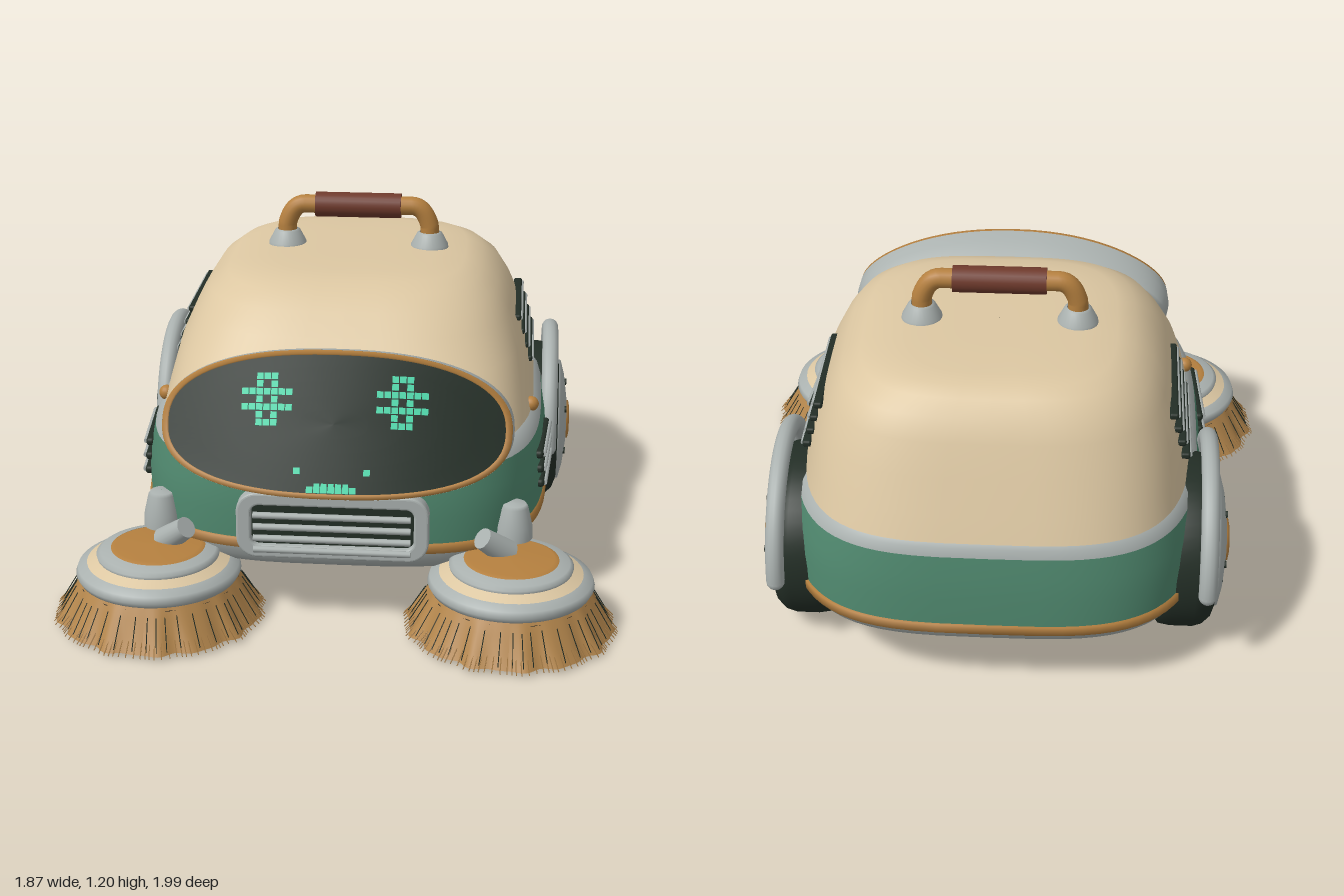
import * as THREE from 'three';
import { mergeGeometries } from 'three/addons/utils/BufferGeometryUtils.js';
import { RoundedBoxGeometry } from 'three/addons/geometries/RoundedBoxGeometry.js';

const paint = (name, color, side = THREE.FrontSide) => {
  const m = new THREE.MeshStandardMaterial({ color, side });
  m.name = name;
  return m;
};

export function createModel() {
  const root = new THREE.Group();
  root.name = 'sweeperRobot';
  const cream = paint('cream', 0xdcc7a2), green = paint('green', 0x50896f), grey = paint('grey', 0xaab1af, THREE.DoubleSide);
  const dark = paint('darkGreen', 0x232e26), copper = paint('copper', 0xb5803f), maroon = paint('maroon', 0x6f3a2c);
  const straw = paint('straw', 0xb2854c, THREE.DoubleSide), mint = paint('mint', 0x4fdcae), black = paint('black', 0x222425);

  const add = (parent, name, geo, mat, x = 0, y = 0, z = 0, rx = 0, ry = 0, rz = 0) => {
    const m = new THREE.Mesh(geo, mat);
    m.name = name;
    m.position.set(x, y, z);
    m.rotation.set(rx, ry, rz);
    parent.add(m);
    return m;
  };
  const lathe = (pts, seg = 48) => new THREE.LatheGeometry(pts.map(p => new THREE.Vector2(...p)), seg);

  // Skin over superellipse rings [depth, halfWidth, halfHeight, centreY], bent back by bend * x^2
  function loft(rings, n, bend = 0, seg = 80) {
    const pos = [], idx = [];
    const pw = v => Math.sign(v) * Math.abs(v) ** (2 / n);
    rings.forEach(([d, a, b, cy = 0], r) => {
      for (let i = 0; i < seg; i++) {
        const t = (i / seg) * Math.PI * 2, x = a * pw(Math.cos(t));
        pos.push(x, cy + b * pw(Math.sin(t)), d - bend * x * x);
        if (r) {
          const j = (i + 1) % seg, p = (r - 1) * seg, q = r * seg;
          idx.push(p + i, p + j, q + j, p + i, q + j, q + i);
        }
      }
    });
    const g = new THREE.BufferGeometry();
    g.setAttribute('position', new THREE.Float32BufferAttribute(pos, 3));
    g.setIndex(idx);
    g.computeVertexNormals();
    return g;
  }

  // Body layers, rows of [y, halfWidth, frontZ, backZ]
  const layer = (name, mat, rows) => add(root, name, loft(rows.map(([y, hx, f, b]) => [y, hx, (f - b) / 2, -(f + b) / 2]), 3.5),
    mat, 0, 0, 0, -Math.PI / 2);
  layer('underside', dark, [[0.175, 0.001, -0.16, -0.162], [0.175, 0.63, 0.58, -0.87]]);
  layer('lowerSkirt', grey, [[0.175, 0.63, 0.58, -0.87], [0.19, 0.655, 0.62, -0.93], [0.22, 0.675, 0.645, -0.97], [0.257, 0.685, 0.655, -0.985]]);
  layer('copperTrim', copper, [[0.255, 0.68, 0.65, -0.98], [0.257, 0.695, 0.668, -1], [0.288, 0.695, 0.668, -1], [0.291, 0.68, 0.65, -0.98]]);
  layer('greenBody', green, [[0.288, 0.688, 0.66, -0.993], [0.38, 0.69, 0.664, -0.99], [0.46, 0.683, 0.66, -0.983], [0.535, 0.668, 0.65, -0.972]]);
  layer('shoulderTrim', grey, [[0.535, 0.668, 0.65, -0.972], [0.565, 0.655, 0.635, -0.965], [0.58, 0.635, 0.61, -0.95]]);
  layer('upperShell', cream, [[0.555, 0.645, 0.61, -0.962], [0.65, 0.625, 0.53, -0.925], [0.77, 0.595, 0.4, -0.875], [0.87, 0.55, 0.31, -0.835],
    [0.94, 0.505, 0.24, -0.8], [0.985, 0.445, 0.175, -0.755], [1.008, 0.385, 0.11, -0.71], [1.018, 0.28, 0.03, -0.65],
    [1.02, 0.14, -0.13, -0.48], [1.02, 0.001, -0.31, -0.312]]);

  // Tilted, curved face visor
  const face = new THREE.Group();
  face.name = 'faceVisor';
  face.position.set(0, 0.69, 0.632);
  face.rotation.x = -0.445;
  root.add(face);
  const BEND = 0.3, N = 2.4;
  add(face, 'visorHood', loft([[-0.13, 0.5, 0.18, 0.035], [-0.145, 0.54, 0.195, 0.04], [-0.125, 0.568, 0.215, 0.033],
    [-0.06, 0.578, 0.238, 0.012], [-0.005, 0.572, 0.24]], N, BEND), grey);
  add(face, 'visorRim', loft([[-0.01, 0.572, 0.24], [0.004, 0.57, 0.239], [0.006, 0.553, 0.226], [-0.004, 0.547, 0.221]], N, BEND), copper);
  add(face, 'screen', loft([1, 0.8, 0.6, 0.4, 0.2, 0.001].map(s => [0, 0.556 * s, 0.229 * s]), N, BEND), dark);
  add(face, 'visorBack', loft([0.001, 0.25, 0.5, 0.75, 1].map(s => [-0.13, 0.51 * s, 0.185 * s, 0.035]), N, BEND), dark);

  // Lit squares on the screen
  const cells = [];
  const cell = (x, y, w = 0.021, h = 0.021) => {
    const g = new THREE.BoxGeometry(w, h, 0.006);
    g.rotateY(Math.atan(2 * BEND * x));
    g.translate(x, (y - 0.69) / Math.cos(0.445), 0.004 - BEND * x * x);
    cells.push(g);
  };
  const eye = ['..###..', '..#.#..', '#######', '..#.#..', '#######', '..#.#..', '..###..'];
  for (const s of [-1, 1]) {
    eye.forEach((row, r) => [...row].forEach((c, i) => c === '#' && cell(s * 0.218 + (i - 3) * 0.024, 0.826 - r * 0.0225)));
    cell(s * 0.112, 0.553);
  }
  for (let i = -3; i <= 3; i++) cell(i * 0.023, 0.5);
  for (let i = -2; i <= 2; i++) cell(i * 0.023, 0.512, 0.018, 0.014);
  add(face, 'screenLights', mergeGeometries(cells), mint);

  // Front grille
  const roundRect = (C, w, h, r) => {
    const s = new C();
    [[w - r, h - r, 0], [r - w, h - r, 1], [r - w, r - h, 2], [w - r, r - h, 3]]
      .forEach(([x, y, q]) => s.absarc(x, y, r, q * Math.PI / 2, (q + 1) * Math.PI / 2, false));
    s.closePath();
    return s;
  };
  const frame = roundRect(THREE.Shape, 0.305, 0.105, 0.06);
  frame.holes.push(roundRect(THREE.Path, 0.272, 0.078, 0.035));
  add(root, 'grilleFrame', new THREE.ExtrudeGeometry(frame, { depth: 0.07, bevelSize: 0.008, bevelThickness: 0.008, bevelSegments: 3, curveSegments: 10 }),
    grey, 0, 0.354, 0.615);
  add(root, 'grillePanel', new THREE.BoxGeometry(0.56, 0.17, 0.05), dark, 0, 0.354, 0.647);
  for (let i = 0; i < 4; i++)
    add(root, 'grilleBar', new THREE.CylinderGeometry(0.011, 0.011, 0.51, 12), grey, 0, 0.277 + i * 0.04, 0.706, 0, 0, Math.PI / 2);

  // Carrying handle
  const bar = new THREE.CurvePath();
  const v = (x, y) => new THREE.Vector3(x, y, 0);
  bar.add(new THREE.LineCurve3(v(-0.255, 1.05), v(-0.255, 1.09)));
  bar.add(new THREE.QuadraticBezierCurve3(v(-0.255, 1.09), v(-0.235, 1.162), v(-0.19, 1.162)));
  bar.add(new THREE.LineCurve3(v(-0.19, 1.162), v(0.19, 1.162)));
  bar.add(new THREE.QuadraticBezierCurve3(v(0.19, 1.162), v(0.235, 1.162), v(0.255, 1.09)));
  bar.add(new THREE.LineCurve3(v(0.255, 1.09), v(0.255, 1.05)));
  add(root, 'handleBar', new THREE.TubeGeometry(bar, 60, 0.033, 16), copper, 0, 0, -0.31);
  add(root, 'handleGrip', new THREE.CylinderGeometry(0.044, 0.044, 0.305, 24), maroon, 0, 1.161, -0.31, 0, 0, Math.PI / 2);

  // Brush with a ruffled skirt and fine dark strands
  function brush(s) {
    const g = new THREE.Group();
    g.name = 'brush';
    g.position.set(s * 0.58, 0, 0.64);
    root.add(g);
    const wave = a => 0.008 * Math.sin(a * 14) + 0.005 * Math.sin(a * 23 + 1);
    const skirt = lathe([[0.335, 0.015], [0.305, 0.06], [0.278, 0.11], [0.25, 0.155]], 120);
    const p = skirt.attributes.position;
    for (let i = 0; i < p.count; i++) {
      const a = Math.atan2(p.getZ(i), p.getX(i)), r = Math.hypot(p.getX(i), p.getZ(i));
      const k = 1 + wave(a) * (0.155 - p.getY(i)) / 0.14 / r;
      p.setX(i, p.getX(i) * k);
      p.setZ(i, p.getZ(i) * k);
    }
    skirt.computeVertexNormals();
    add(g, 'bristleSkirt', skirt, straw);
    const strands = (count, thick, y0, y1, r0, r1) => mergeGeometries(Array.from({ length: count }, (_, i) => {
      const a = (i + 0.35 * Math.sin(i * 7.3)) / count * Math.PI * 2;
      const h = new THREE.CylinderGeometry(thick, thick, Math.hypot(r1 - r0, y1 - y0), 3);
      h.rotateZ(Math.atan2(r1 - r0, y0 - y1));
      h.translate((r0 + r1) / 2 + wave(-a) * 0.6, (y0 + y1) / 2, 0);
      return h.rotateY(a);
    }));
    add(g, 'bristleTips', strands(110, 0.002, 0.05, 0.01, 0.31, 0.348), straw);
    add(g, 'darkStrands', strands(44, 0.0018, 0.12, 0.025, 0.275, 0.332), dark);
    add(g, 'brushUnderside', new THREE.CylinderGeometry(0.262, 0.262, 0.01, 48), black, 0, 0.13, 0);
    add(g, 'brushRim', lathe([[0.24, 0.14], [0.262, 0.147], [0.272, 0.165], [0.265, 0.185], [0.235, 0.2]]), grey);
    add(g, 'brushCreamRing', lathe([[0.235, 0.2], [0.2, 0.217]]), cream);
    add(g, 'brushCollar', lathe([[0.2, 0.215], [0.203, 0.227], [0.19, 0.237], [0.155, 0.246]]), grey);
    add(g, 'brushTop', lathe([[0.157, 0.244], [0.14, 0.252], [0.001, 0.256]]), copper);
    // Motor hub and linking arm
    add(g, 'brushMotor', lathe([[0.062, 0.27], [0.06, 0.315], [0.045, 0.38], [0.038, 0.39], [0.001, 0.392]], 24), grey, s * 0.005, 0, -0.12);
    add(g, 'brushArm', new THREE.CylinderGeometry(0.036, 0.045, 0.12, 20), grey, -s * 0.055, 0.28, -0.02, 0.6, 0, s * 0.75);
  }

  // Wheel, built facing +x
  function wheel(s) {
    const g = new THREE.Group();
    g.name = 'wheel';
    g.position.set(0, 0.295, -0.5);
    g.rotation.y = s > 0 ? 0 : Math.PI;
    root.add(g);
    const turn = -Math.PI / 2;
    add(g, 'tyre', lathe([[0.001, 0.53], [0.26, 0.53], [0.287, 0.55], [0.294, 0.59], [0.294, 0.665], [0.285, 0.695], [0.26, 0.722], [0.218, 0.738]]),
      dark, 0, 0, 0, 0, 0, turn);
    add(g, 'hubDisc', lathe([[0.225, 0.73], [0.222, 0.744], [0.17, 0.758], [0.08, 0.77], [0.001, 0.773]]), grey, 0, 0, 0, 0, 0, turn);
    add(g, 'hubCap', lathe([[0.073, 0.765], [0.07, 0.777], [0.05, 0.781], [0.001, 0.782]], 32), copper, 0, 0, 0, 0, 0, turn);
    for (let i = 0; i < 5; i++) {
      const a = i / 5 * Math.PI * 2;
      add(g, 'lugHole', new THREE.CylinderGeometry(0.012, 0.012, 0.008, 12), dark, 0.764, 0.14 * Math.sin(a), -s * 0.14 * Math.cos(a), 0, 0, turn);
    }
    // Fender arch with rounded ends
    add(g, 'fender', new THREE.TorusGeometry(0.333, 0.03, 14, 48, Math.PI), grey, 0.7, 0.015, 0, 0, Math.PI / 2, 0);
    for (const e of [-1, 1]) add(g, 'fenderEnd', new THREE.SphereGeometry(0.03, 14, 10), grey, 0.7, 0.015, e * 0.333);
  }

  for (const s of [-1, 1]) {
    add(root, 'handleMount', lathe([[0.068, 1.01], [0.066, 1.025], [0.045, 1.065], [0.036, 1.07]], 28), grey, s * 0.255, 0, -0.31);
    brush(s);
    wheel(s);
    // Upper vents on the shell
    for (let i = 0; i < 4; i++) {
      const y = 0.667 + i * 0.05, x = s * (0.618 - i * 0.0145);
      add(root, 'upperVentSlot', new RoundedBoxGeometry(0.03, 0.022, 0.45, 2, 0.008), dark, x, y, -0.34);
      add(root, 'upperVentSlat', new THREE.CylinderGeometry(0.008, 0.008, 0.42, 10), grey, x + s * 0.014, y - 0.002, -0.34, Math.PI / 2);
    }
    // Lower vents on the green body
    for (let i = 0; i < 3; i++) {
      const y = 0.366 + i * 0.052, x = s * (0.68 - i * 0.003);
      add(root, 'lowerVentSlot', new RoundedBoxGeometry(0.03, 0.028, 0.33, 2, 0.012), dark, x, y, 0.135, 0, -s * 0.07, 0);
      add(root, 'lowerVentSlat', new THREE.CylinderGeometry(0.009, 0.009, 0.3, 10), grey, x + s * 0.015, y, 0.135, Math.PI / 2, 0, s * 0.07);
    }
    add(root, 'sideKnob', new THREE.SphereGeometry(0.026, 16, 12), copper, s * 0.632, 0.592, 0.13);
  }
  return root;
}
